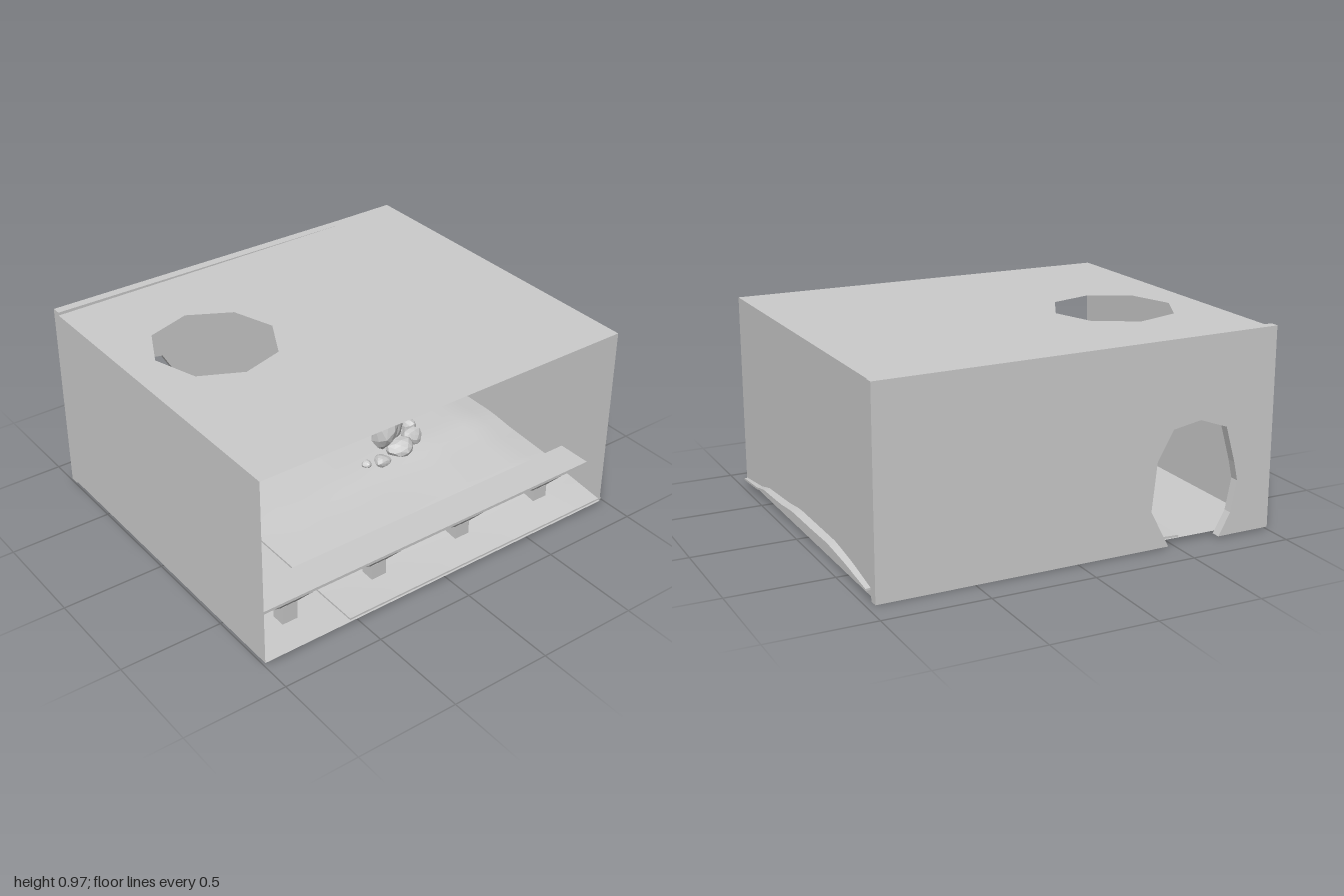
import * as THREE from 'three';

const X0 = -1, X1 = 0.96, Z0 = -0.85, Z1 = 0.85, FLOOR = 0.025, ROOF = 0.96;
const CX = (X0 + X1) / 2, W = X1 - X0;

const grey = (opts = {}) => new THREE.MeshStandardMaterial({ color: 0xcccccc, ...opts });
const flat = grey({ flatShading: true });
const sheet = grey({ side: THREE.DoubleSide });

function add(group, name, geometry, material = flat) {
  const mesh = new THREE.Mesh(geometry, material);
  mesh.name = name;
  group.add(mesh);
  return mesh;
}

// Piecewise linear lookup through [position, value] pairs
function lookup(points, t) {
  for (let i = 1; i < points.length; i++) {
    const [a, va] = points[i - 1], [b, vb] = points[i];
    if (t <= b) return va + (vb - va) * Math.max(0, (t - a) / (b - a));
  }
  return points[points.length - 1][1];
}

const path = (pts) => pts.map(([x, y]) => new THREE.Vector2(x, y));

// Thin shell: floor, side walls and a roof with an eight-sided skylight
function buildShell() {
  const g = new THREE.Group();
  g.name = 'roomShell';
  const depth = Z1 + 0.805, midZ = (Z1 - 0.805) / 2;

  const floor = new THREE.PlaneGeometry(W, depth).rotateX(-Math.PI / 2);
  add(g, 'floor', floor.translate(CX, FLOOR, midZ), sheet);

  for (const [name, x] of [['rightHandWall', X0], ['leftHandWall', X1]]) {
    const wall = new THREE.PlaneGeometry(depth, ROOF - FLOOR).rotateY(Math.PI / 2);
    add(g, name, wall.translate(x, (ROOF + FLOOR) / 2, midZ), sheet);
  }

  const roof = new THREE.Shape(path([[X0, -Z1], [X1, -Z1], [X1, -Z0], [X0, -Z0]]));
  roof.holes.push(new THREE.Path(path([
    [-0.85, 0.19], [-0.75, 0.39], [-0.53, 0.46], [-0.33, 0.35],
    [-0.26, 0.14], [-0.37, -0.07], [-0.58, -0.13], [-0.78, -0.03],
  ])));
  add(g, 'roof', new THREE.ShapeGeometry(roof).rotateX(-Math.PI / 2).translate(0, ROOF, 0), sheet);
  return g;
}

// Thick back wall with a cave-like doorway open at the bottom
function buildBackWall() {
  const outline = new THREE.Shape(path([
    [X0, 0.015], [-0.73, 0.013],
    [-0.79, 0.12], [-0.82, 0.27], [-0.80, 0.36], [-0.75, 0.535], [-0.61, 0.585],
    [-0.47, 0.56], [-0.39, 0.42], [-0.365, 0.19], [-0.46, 0.011],
    [X1, 0.003], [X1, 0.957], [X0, 0.975],
  ]));
  return new THREE.ExtrudeGeometry(outline, { depth: 0.045, bevelEnabled: false }).translate(0, 0, Z0);
}

// Gently swelling ground slab, poking slightly through the side wall
const RIDGE = [[-0.545, 0.005], [-0.3, 0.035], [0, 0.065], [0.3, 0.09], [0.5, 0.108], [0.8, 0.115], [1, 0.088]];
const SWELL = [[-0.8, 0.3], [-0.6, 0.72], [-0.4, 1], [0.05, 1], [0.2, 0.8], [0.5, 0.58], [0.6, 0.3], [0.84, 0]];
const groundY = (x, z) => 0.034 + lookup(RIDGE, x) * lookup(SWELL, z);

function buildMound() {
  const geo = new THREE.BoxGeometry(1, 1, 1, 24, 1, 28);
  const p = geo.attributes.position;
  for (let i = 0; i < p.count; i++) {
    const z = 0.02 + p.getZ(i) * 1.64;
    const edge = 1 - 0.022 * ((z + 0.05) / 0.85) ** 2;
    const x = -0.545 + (p.getX(i) + 0.5) * (edge + 0.545);
    p.setXYZ(i, x, groundY(x, z) + (p.getY(i) - 0.5) * 0.01, z);
  }
  geo.computeVertexNormals();
  return geo;
}

// Raised walkway on four posts with flared square capitals
function buildWalkway() {
  const g = new THREE.Group();
  g.name = 'walkway';
  const z = 0.655;
  add(g, 'deck', new THREE.BoxGeometry(W, 0.014, 0.175).translate(CX, 0.189, z));
  for (let i = 0; i < 4; i++) {
    const x = -0.76 + i * 0.49;
    add(g, 'post', new THREE.BoxGeometry(0.08, 0.1, 0.07).translate(x, 0.07, z));
    const capital = new THREE.CylinderGeometry(Math.SQRT1_2, Math.SQRT1_2 * 0.35, 0.067, 4, 1);
    capital.rotateY(Math.PI / 4).scale(0.24, 1, 0.17).translate(x, 0.1485, z);
    add(g, 'capital', capital);
  }
  return g;
}

// Faceted boulder: a sphere-like solid with its vertices pushed in and out by a rule
function boulder(w, h, d, seed) {
  const geo = new THREE.IcosahedronGeometry(1, 1);
  const p = geo.attributes.position, v = new THREE.Vector3();
  for (let i = 0; i < p.count; i++) {
    v.fromBufferAttribute(p, i);
    const n = Math.sin(v.x * 3.1 + seed) * Math.cos(v.y * 2.7 - seed * 2) + Math.sin(v.z * 4.3 + seed * 3);
    v.multiplyScalar(0.95 + 0.1 * n);
    p.setXYZ(i, v.x * w / 2, v.y * h / 2, v.z * d / 2);
  }
  geo.computeVertexNormals();
  return geo;
}

// Two standing stones ringed by small rubble
function buildRocks() {
  const g = new THREE.Group();
  g.name = 'rockPile';
  const stones = [
    ['tallRock', 0.28, 0.29, 0.03, 0.13, 0.27, 0.14, 1, -0.12],
    ['tallRock', 0.385, 0.27, -0.04, 0.1, 0.25, 0.11, 2.3, 0.08],
    ['lowRock', 0.34, 0.17, 0.08, 0.16, 0.09, 0.12, 3.1, 0],
    ['lowRock', 0.45, 0.165, 0.02, 0.11, 0.11, 0.11, 4.2, 0.3],
    ['lowRock', 0.5, 0.165, -0.06, 0.08, 0.09, 0.08, 5.5, -0.2],
    ['lowRock', 0.22, 0.14, 0.08, 0.09, 0.06, 0.08, 6.1, 0],
    ['pebble', 0.15, 0.13, 0.05, 0.05, 0.04, 0.05, 7.4, 0],
  ];
  for (const [name, x, y, z, w, h, d, seed, tilt] of stones) {
    const rock = add(g, name, boulder(w, h, d, seed));
    rock.position.set(x, y, z);
    rock.rotation.z = tilt;
  }
  return g;
}

export function createModel() {
  const model = new THREE.Group();
  model.name = 'caveRoom';
  model.add(buildShell());
  add(model, 'backWall', buildBackWall());
  add(model, 'groundMound', buildMound(), grey());
  model.add(buildWalkway(), buildRocks());
  return model;
}
